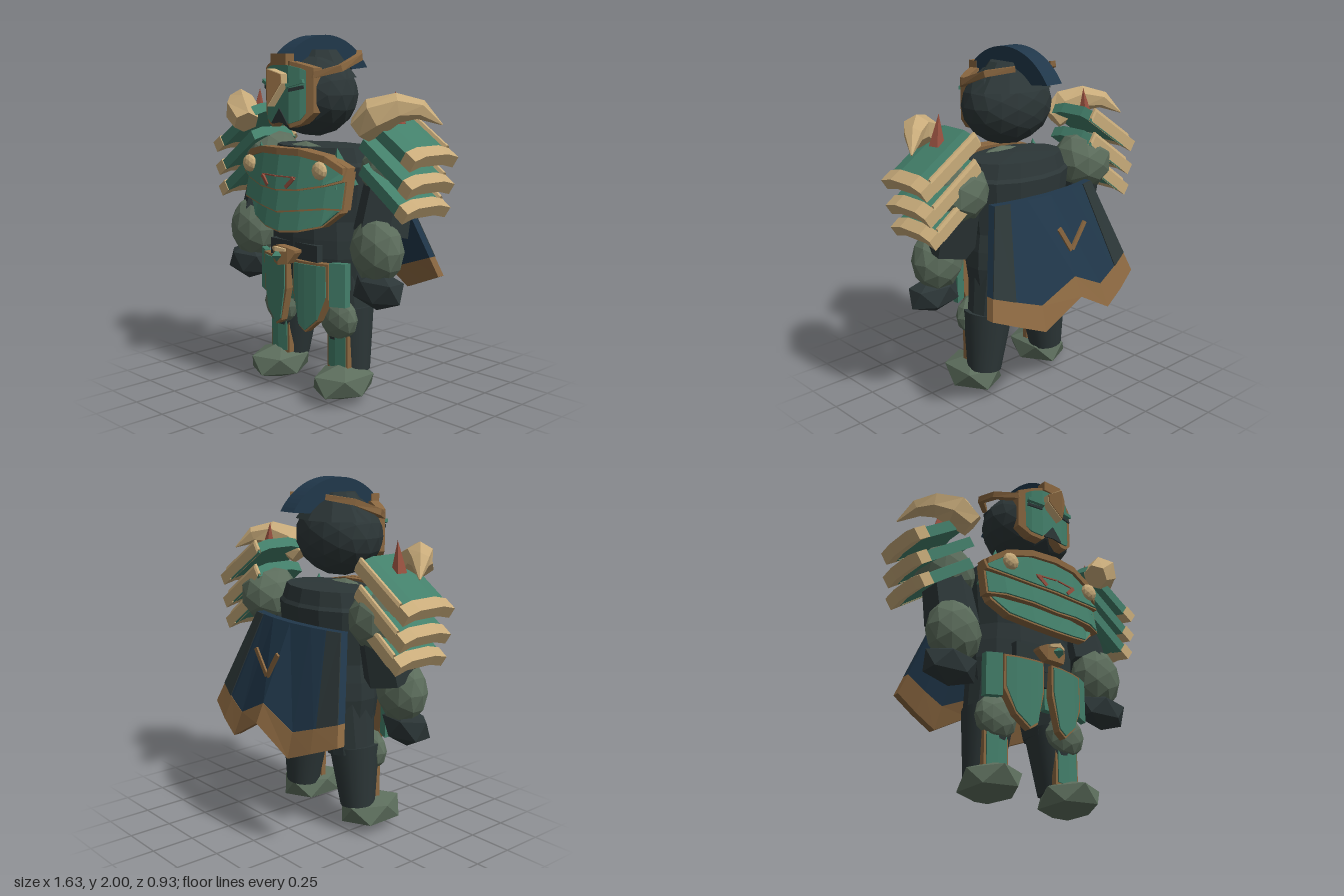
import * as THREE from 'three';

const mat = (name, color) => Object.assign(new THREE.MeshStandardMaterial({ color, flatShading: true }), { name });
const M = {
  charcoal: mat('charcoal', 0x2c3637), stone: mat('stone', 0x5c6d5c), teal: mat('teal', 0x437f6a),
  bronze: mat('bronze', 0x8a6740), bone: mat('bone', 0xc8ab7a), navy: mat('navy', 0x20374a), red: mat('red', 0x97503f),
};
const calfMat = Object.assign(new THREE.MeshStandardMaterial({ color: 0x2c3637 }), { name: 'smoothCharcoal' });

// Closed solid through rings of points; winding is fixed by its signed volume
function loft(rings) {
  const tris = [], n = rings[0].length;
  for (let i = 0; i + 1 < rings.length; i++) for (let j = 0; j < n; j++) {
    const k = (j + 1) % n, a = rings[i][j], b = rings[i][k], c = rings[i + 1][k], d = rings[i + 1][j];
    tris.push([a, b, c], [a, c, d]);
  }
  const first = rings[0], last = rings[rings.length - 1];
  for (let j = 1; j + 1 < n; j++) tris.push([first[0], first[j + 1], first[j]], [last[0], last[j], last[j + 1]]);
  const o = new THREE.Vector3(...first[0]);
  let vol = 0;
  for (const t of tris) {
    const [a, b, c] = t.map((p) => new THREE.Vector3(...p).sub(o));
    vol += a.dot(b.cross(c));
  }
  if (vol < 0) tris.forEach((t) => t.reverse());
  const g = new THREE.BufferGeometry();
  g.setAttribute('position', new THREE.Float32BufferAttribute(tris.flat(2), 3));
  g.computeVertexNormals();
  return g;
}

// Plate from columns [x, low, high, zLow, zHigh]; mirrored when it starts at x = 0
function panel(cols, thick, s = 1) {
  const all = cols[0][0] === 0
    ? [...cols.slice(1).reverse().map(([x, ...r]) => [-x, ...r]), ...cols]
    : cols.map(([x, ...r]) => [x * s, ...r]);
  return loft(all.map(([x, lo, hi, z, zh = z]) => [[x, lo, z], [x, hi, zh], [x, hi, zh - thick], [x, lo, z - thick]]));
}

const grow = (cols, g, back) => cols.map(([x, lo, hi, z, zh = z], i) => [
  x + (i === cols.length - 1 ? g : i === 0 && x !== 0 ? -g : 0), lo - g, hi + g, z - back, zh - back]);

// Faceted bar along a path with a radius at each point
function bar(path, radii, sides) {
  const P = path.map((p) => new THREE.Vector3(...p));
  return loft(P.map((p, i) => {
    const t = P[Math.min(i + 1, P.length - 1)].clone().sub(P[Math.max(i - 1, 0)]).normalize();
    const u = t.clone().cross(new THREE.Vector3(0, 1, 0)).normalize(), v = u.clone().cross(t);
    return Array.from({ length: sides }, (_, j) => {
      const a = ((j + 0.5) / sides) * Math.PI * 2;
      return p.clone().addScaledVector(u, Math.cos(a) * radii[i]).addScaledVector(v, Math.sin(a) * radii[i]).toArray();
    });
  }));
}

export function createModel() {
  const root = new THREE.Group();
  root.name = 'armouredGuardian';
  const add = (name, geo, m, pos = [0, 0, 0], rot = [0, 0, 0], scale = [1, 1, 1]) => {
    const mesh = new THREE.Mesh(geo, m);
    mesh.name = name;
    mesh.position.set(...pos);
    mesh.rotation.set(...rot);
    mesh.scale.set(...scale);
    root.add(mesh);
  };
  const rock = (name, m, pos, r, detail, rz = 0) =>
    add(name, new THREE.IcosahedronGeometry(1, detail).rotateZ(rz), m, pos, [0, 0, 0], r);
  const rimmed = (name, cols, thick, g, s = 1) => {
    add(name, panel(cols, thick, s), M.teal);
    add(name + 'Rim', panel(grow(cols, g, 0.008), thick, s), M.bronze);
  };

  // Torso, collar and skirt
  const profile = [[0, 0.66], [0.32, 0.66], [0.34, 0.8], [0.335, 0.9], [0.32, 1.0], [0.34, 1.2], [0.35, 1.3], [0.33, 1.32], [0.3, 1.4], [0, 1.41]];
  add('torso', new THREE.LatheGeometry(profile.map((p) => new THREE.Vector2(...p)), 14), M.charcoal, [0, 0, 0.06], [0, 0, 0], [1, 1, 0.66]);
  add('belt', new THREE.BoxGeometry(0.38, 0.13, 0.06), M.charcoal, [0, 0.81, 0.25]);
  rock('chestRock', M.stone, [0, 1.2, 0.18], [0.34, 0.225, 0.15], 1);

  // Head
  rock('head', M.charcoal, [0, 1.68, 0.13], [0.28, 0.23, 0.22], 2);
  add('helmetCap', new THREE.CylinderGeometry(0.13, 0.26, 0.15, 10), M.charcoal, [0, 1.845, 0.1], [0, 0, 0], [1, 1, 0.76]);
  rimmed('faceplate', [[0, 1.6, 1.84, 0.37], [0.07, 1.53, 1.835, 0.37], [0.13, 1.55, 1.82, 0.345], [0.17, 1.61, 1.8, 0.31]], 0.06, 0.022);
  add('mouth', panel([[0, 1.535, 1.61, 0.376], [0.06, 1.525, 1.535, 0.376]], 0.008), M.charcoal);
  add('beak', panel([[0, 1.62, 1.82, 0.455], [0.06, 1.74, 1.79, 0.41]], 0.05), M.bone);
  add('beakFace', panel([[0, 1.625, 1.815, 0.459], [0.058, 1.743, 1.788, 0.416]], 0.006), M.bronze);
  add('browBadge', new THREE.BoxGeometry(0.12, 0.06, 0.06), M.bronze, [0, 1.867, 0.35]);

  // Crescent crest
  const crest = new THREE.Shape();
  crest.absarc(0, 0, 0.386, 0.72, Math.PI - 0.58, false);
  crest.absarc(0, 0, 0.285, Math.PI - 0.78, 0.85, true);
  add('crest', new THREE.ExtrudeGeometry(crest, { depth: 0.11, bevelEnabled: false, curveSegments: 12 })
    .translate(0, 0, -0.055).rotateY(-Math.PI / 2), M.navy, [0, 1.614, 0.08]);

  // Layered breastplate, each layer flaring at its lower edge
  const zs = [0.385, 0.365, 0.32, 0.275], xs = [0, 0.15, 0.3, 0.39];
  const layers = [
    { name: 'upperBreastplate', w: 1, lo: [1.18, 1.19, 1.22, 1.25], hi: [1.39, 1.39, 1.36, 1.3], off: 0 },
    { name: 'middleBreastplate', w: 1, lo: [1.06, 1.08, 1.1, 1.1], hi: [1.25, 1.25, 1.27, 1.28], off: -0.004 },
    { name: 'lowerBreastplate', w: 0.9, lo: [0.95, 0.965, 1.0, 1.08], hi: [1.13, 1.13, 1.13, 1.13], off: -0.018 },
  ];
  for (const { name, w, lo, hi, off } of layers)
    rimmed(name, xs.map((x, i) => [x * w, lo[i], hi[i], zs[i] + off + 0.025, zs[i] + off - 0.012]), 0.055, 0.01);
  add('breastplateTrim', panel(xs.map((x, i) => [x, layers[0].hi[i] - 0.025, layers[0].hi[i] + 0.012, zs[i] + 0.012]), 0.04), M.bronze);

  // Buckle
  add('buckle', panel([[0, 0.76, 0.87, 0.395], [0.055, 0.77, 0.86, 0.375], [0.09, 0.83, 0.845, 0.35]], 0.05), M.bronze);
  add('buckleCrown', panel([[0, 0.84, 0.865, 0.415], [0.05, 0.84, 0.855, 0.39]], 0.02), M.bone);
  add('buckleGem', new THREE.OctahedronGeometry(0.035), M.teal, [0, 0.815, 0.4]);

  // Cape: u runs across, t runs down
  const capePoint = (u, t) => {
    const a = Math.abs(u);
    const yb = a < 0.45 ? 0.69 - a * 0.31 : 0.55 + (a - 0.45) * 0.22;
    return [u * (0.37 + 0.18 * t), 1.22 - t * (1.22 - yb), -0.18 + 0.05 * a * a + t * (-0.24 + 0.06 * a * a)];
  };
  const cape = (name, us, t0, t1, m, thick, off = 0) => add(name, loft(us.map((u) => {
    const [a, b] = [capePoint(u, t0), capePoint(u, t1)];
    const at = (p, d) => [p[0], p[1], p[2] - d];
    return [at(a, off), at(b, off), at(b, off + thick), at(a, off + thick)];
  })), m);
  const across = [-1, -0.72, -0.45, 0, 0.45, 0.72, 1];
  cape('cape', across, 0, 0.8, M.navy, 0.045);
  cape('capeHem', across, 0.8, 1, M.bronze, 0.047);

  for (const s of [-1, 1]) {
    const side = s > 0 ? 'left' : 'right';
    const mir = (pts) => pts.map(([x, y, z]) => [x * s, y, z]);

    cape(side + 'CapeStrip', [0.76 * s, s], 0, 0.8, M.charcoal, 0.006, 0.045);
    add(side + 'Chevron', new THREE.BoxGeometry(0.026, 0.17, 0.012), M.bronze, [s * 0.05, 1.015, -0.388], [0, 0, -s * 0.6]);

    // Face details
    add(side + 'Eye', new THREE.BoxGeometry(0.09, 0.018, 0.008), M.charcoal, [s * 0.115, 1.715, 0.357], [0, s * 0.4, s * 0.2]);
    add(side + 'Brow', new THREE.BoxGeometry(0.1, 0.02, 0.03), M.teal, [s * 0.11, 1.742, 0.36], [0, s * 0.4, s * 0.25]);
    add(side + 'Headband', bar(mir([[0.14, 1.905, -0.09], [0.25, 1.88, 0.02], [0.265, 1.82, 0.18], [0.18, 1.785, 0.29], [0.08, 1.845, 0.33]]), [0.02, 0.025, 0.025, 0.025, 0.02], 4), M.bronze);

    // Breastplate details
    add(side + 'Clasp', new THREE.IcosahedronGeometry(0.05, 1), M.bone, [s * 0.285, 1.295, 0.35], [0, 0, 0], [1, 1, 0.6]);
    add(side + 'ChestFin', new THREE.ConeGeometry(0.095, 0.2, 4), M.teal, [s * 0.31, 1.31, 0.23], [0.15, 0.5, 0]);
    add(side + 'ChestEye', new THREE.BoxGeometry(0.075, 0.02, 0.02), M.red, [s * 0.1, 1.22, 0.39], [0, s * 0.15, s * 0.75]);
    add(side + 'ChestBrow', new THREE.BoxGeometry(0.13, 0.007, 0.008), M.red, [s * 0.07, 1.25, 0.392], [0, s * 0.14, 0]);

    // Arms
    rock(side + 'Shoulder', M.stone, [s * 0.48, 1.29, 0], [0.175, 0.175, 0.175], 1);
    add(side + 'UpperArm', new THREE.CylinderGeometry(0.135, 0.15, 0.3, 6), M.charcoal, [s * 0.475, 1.1, 0.05], [-0.25, 0, 0]);
    rock(side + 'Forearm', M.stone, [s * 0.505, 0.88, 0.145], [0.16, 0.185, 0.125], 1);
    rock(side + 'Hand', M.charcoal, [s * 0.53, 0.675, 0.16], [0.175, 0.112, 0.105], 0, 0.5);

    // Pauldron plates with bone edges
    const plates = [[[0.42, 1.57], [0.775, 1.335]], [[0.42, 1.43], [0.755, 1.195]], [[0.42, 1.295], [0.73, 1.07]]];
    plates.forEach(([inner, outer], i) => {
      const slab = (f0, f1, th, z0, z1) => {
        const at = (f) => [0, 1].map((k) => inner[k] + (outer[k] - inner[k]) * f);
        const [a, b] = [at(f0), at(f1)], nx = 0.56 * th, ny = 0.83 * th;
        return loft([0, 0.25, 0.75, 1].map((q, j) => {
          const z = z0 + (z1 - z0) * q, d = j === 0 || j === 3 ? -0.02 : 0;
          return mir([[a[0], a[1] + d, z], [b[0], b[1] + d, z], [b[0] + nx, b[1] + ny + d, z], [a[0] + nx, a[1] + ny + d, z]]);
        }));
      };
      add(`${side}Pauldron${i + 1}`, slab(0, 0.84, 0.06, -0.12, 0.2), M.teal);
      add(`${side}PauldronEdge${i + 1}`, slab(0.82, 1, 0.068, -0.13, 0.205), M.bone);
      add(`${side}PauldronBackEdge${i + 1}`, slab(0, 0.83, 0.063, -0.135, -0.105), M.bone);
    });
    add(side + 'Horn', bar(mir([[0.46, 1.51, 0.23], [0.54, 1.58, 0.2], [0.63, 1.625, 0.13], [0.71, 1.615, 0.05], [0.785, 1.54, -0.03]]), [0.075, 0.1, 0.075, 0.05, 0.004], 6), M.bone);
    add(side + 'Spike', new THREE.ConeGeometry(0.045, 0.17, 5), M.red, [s * 0.55, 1.62, 0.055], [0, 0, s * 0.1]);

    // Tassets
    rimmed(side + 'Tasset', [[0.04, 0.62, 0.77, 0.315], [0.075, 0.43, 0.77, 0.315], [0.12, 0.4, 0.77, 0.31], [0.2, 0.47, 0.77, 0.295], [0.25, 0.6, 0.77, 0.275]], 0.045, 0.013, s);
    add(side + 'OuterTasset', panel([[0.265, 0.55, 0.79, 0.26], [0.345, 0.55, 0.79, 0.22]], 0.04, s), M.teal);
    add(side + 'InnerTasset', panel([[0.02, 0.54, 0.77, 0.255], [0.08, 0.54, 0.77, 0.255]], 0.04, s), M.teal);

    // Legs
    add(side + 'Thigh', new THREE.CylinderGeometry(0.165, 0.135, 0.36, 12), M.charcoal, [s * 0.18, 0.65, 0.05], [0, 0, s * 0.15]);
    add(side + 'Calf', new THREE.CylinderGeometry(0.145, 0.1, 0.36, 20), calfMat, [s * 0.232, 0.335, 0.065], [0, 0, s * 0.1]);
    rock(side + 'Knee', M.stone, [s * 0.235, 0.465, 0.16], [0.13, 0.125, 0.075], 1);
    rimmed(side + 'ShinGuard', [[0.175, 0.19, 0.37, 0.18], [0.24, 0.18, 0.37, 0.19], [0.305, 0.19, 0.37, 0.18]], 0.035, 0.013, s);
    rock(side + 'Foot', M.stone, [s * 0.265, 0.11, 0.15], [0.165, 0.11, 0.213], 0, 0.5);
  }
  return root;
}
